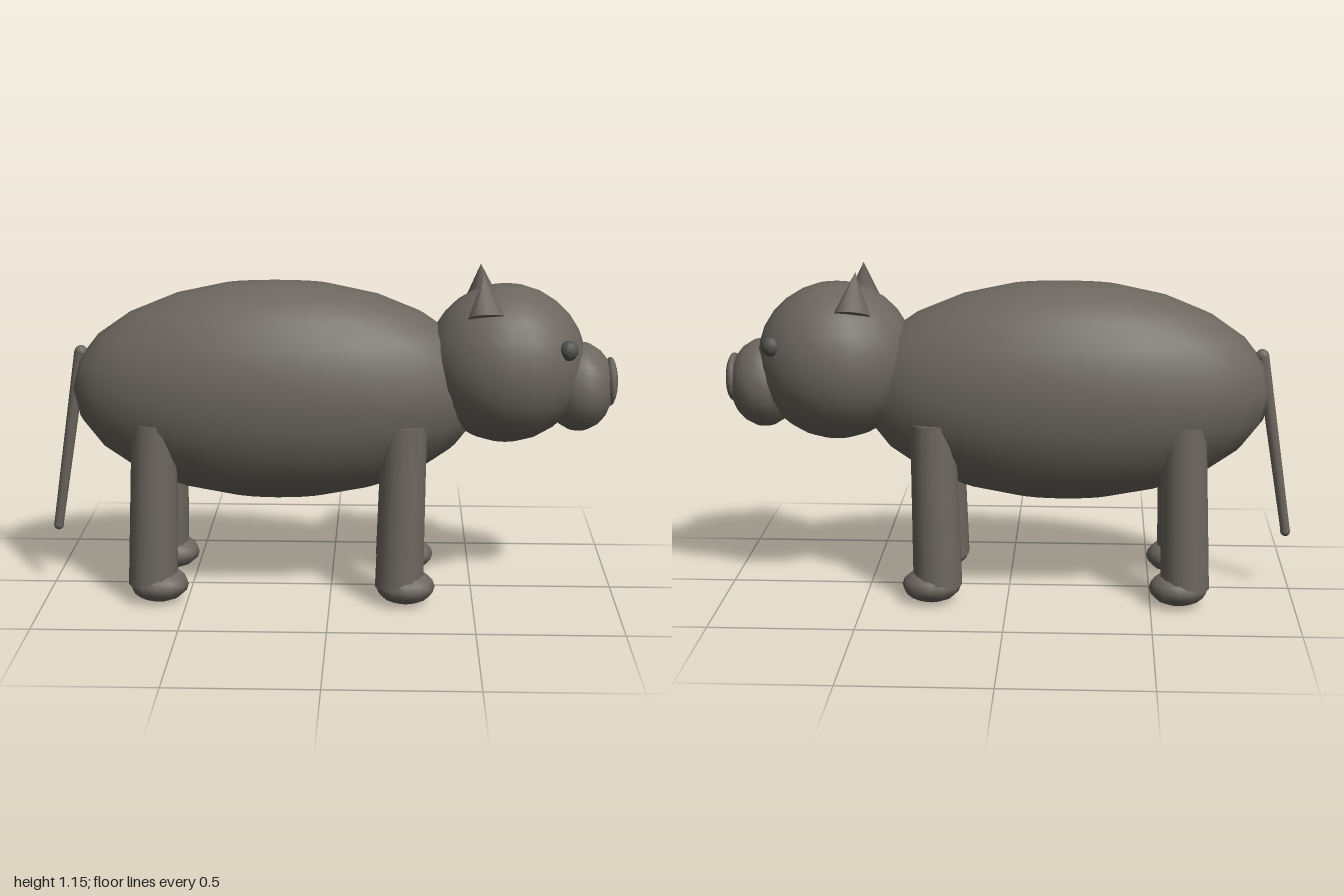
import * as THREE from 'three';

export function createModel() {
  const model = new THREE.Group();
  const hide = new THREE.MeshStandardMaterial({ color: 0x6b665e });
  hide.name = 'warm grey hide';
  const dark = new THREE.MeshStandardMaterial({ color: 0x50504d });
  dark.name = 'dark grey eye';

  const add = (name, geometry, material = hide) => {
    const mesh = new THREE.Mesh(geometry, material);
    mesh.name = name;
    model.add(mesh);
    return mesh;
  };

  // Sphere stretched to the given radii
  const ellipsoid = (name, [x, y, z], [rx, ry, rz], seg = 16, rings = 12, material = hide) => {
    const g = new THREE.SphereGeometry(1, seg, rings);
    g.scale(rx, ry, rz);
    const mesh = add(name, g, material);
    mesh.position.set(x, y, z);
    return mesh;
  };

  // Tapered cylinder running from point a to point b
  const limb = (name, a, b, ra, rb, seg) => {
    const from = new THREE.Vector3(...a);
    const to = new THREE.Vector3(...b);
    const axis = to.clone().sub(from);
    const mesh = add(name, new THREE.CylinderGeometry(rb, ra, axis.length(), seg));
    mesh.position.copy(from).add(to).multiplyScalar(0.5);
    mesh.quaternion.setFromUnitVectors(new THREE.Vector3(0, 1, 0), axis.normalize());
    return mesh;
  };

  // Trunk, head and snout
  ellipsoid('body', [-0.19, 0.722, 0], [0.725, 0.388, 0.305], 24, 12);
  ellipsoid('head', [0.608, 0.822, 0], [0.28, 0.278, 0.26], 20, 14);
  ellipsoid('snout', [0.865, 0.74, 0], [0.125, 0.157, 0.155], 14, 10);
  ellipsoid('nose', [0.975, 0.758, 0], [0.025, 0.085, 0.094], 14, 10);

  for (const s of [1, -1]) {
    const side = s > 0 ? 'Front' : 'Back';
    // Eyes and inward-leaning ears
    ellipsoid('eye' + side, [0.812, 0.9, s * 0.167], [0.033, 0.035, 0.03], 12, 8, dark);
    limb('ear' + side, [0.53, 1.012, s * 0.165], [0.522, 1.152, s * 0.115], 0.063, 0, 10);

    // Legs and feet, toes pointing towards the head
    for (const [end, x] of [['rear', -0.62], ['fore', 0.243]]) {
      limb(end + 'Leg' + side, [x, 0.06, s * 0.187], [x + 0.014, 0.635, s * 0.165], 0.086, 0.079, 14);
      ellipsoid(end + 'Foot' + side, [x + 0.022, 0.06, s * 0.187], [0.103, 0.06, 0.096], 12, 8);
    }
  }

  // Hanging tail with rounded ends
  limb('tail', [-0.982, 0.215, 0], [-0.882, 0.85, 0], 0.017, 0.023, 10);
  ellipsoid('tailBase', [-0.88, 0.85, 0], [0.024, 0.024, 0.024], 10, 8);
  ellipsoid('tailTip', [-0.982, 0.215, 0], [0.018, 0.018, 0.018], 10, 8);

  return model;
}
